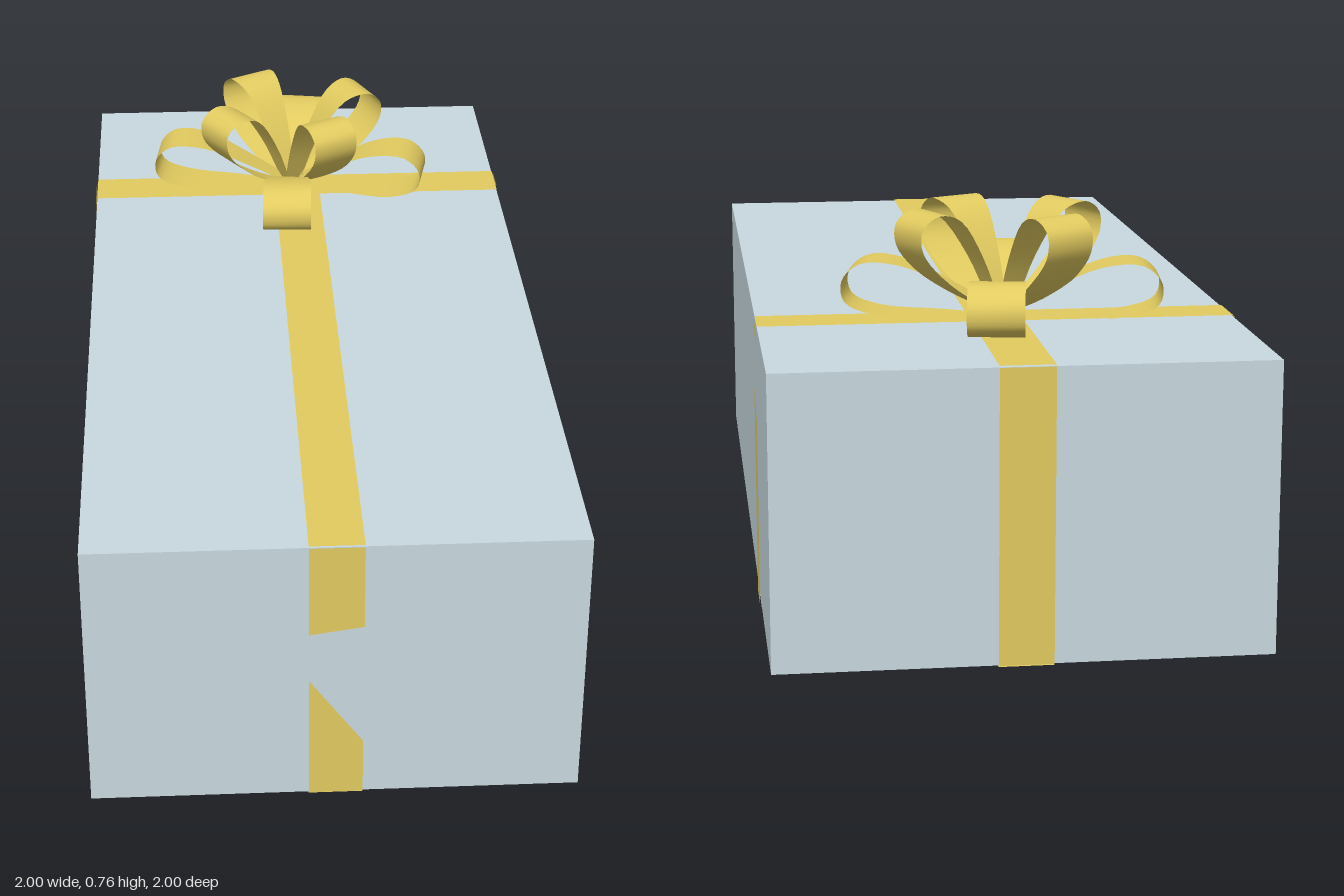
import * as THREE from 'three';

const L = 1.923, W = 0.905, H = 0.545, BASE = 0.004;
const R = 0.05;      // half width of the ribbon
const CROSS = 0.525; // where the cross ribbon sits along the box
const GAP = 0.003;   // ribbon lift above the paper

const paper = new THREE.MeshStandardMaterial({ name: 'pale blue paper', color: 0xc8d9df });
const gold = new THREE.MeshStandardMaterial({ name: 'gold ribbon', color: 0xe2cb60, side: THREE.DoubleSide });

// Flat ribbon piece drawn in a face's own plane
function ribbonPiece(face, points) {
  const shape = new THREE.Shape(points.map(([x, y]) => new THREE.Vector2(x, y)));
  const mesh = new THREE.Mesh(new THREE.ShapeGeometry(shape), gold);
  mesh.name = 'ribbonPiece';
  face.add(mesh);
}

function boxFace(parent, name, position, rotation, pieces) {
  const face = new THREE.Group();
  face.name = name;
  face.position.set(...position);
  face.rotation.set(...rotation);
  pieces.forEach((p) => ribbonPiece(face, p));
  parent.add(face);
}

const rect = (x0, y0, x1, y1) => [[x0, y0], [x1, y0], [x1, y1], [x0, y1]];

// Closed loop of ribbon: side profile (radius, height), flaring from the middle outwards
function loopGeometry(profile, halfWidth) {
  const curve = new THREE.CatmullRomCurve3(profile.map(([r, y]) => new THREE.Vector3(r, y, 0)));
  const steps = 32, reach = Math.max(...profile.map((p) => p[0]));
  const positions = [], index = [];
  for (let i = 0; i <= steps; i++) {
    const p = curve.getPoint(i / steps);
    const w = halfWidth * (0.35 + 0.65 * Math.min(1, Math.max(0, p.x) / (reach * 0.75)));
    positions.push(p.x, p.y, -w, p.x, p.y, w);
    if (i < steps) {
      const a = i * 2;
      index.push(a, a + 2, a + 1, a + 1, a + 2, a + 3);
    }
  }
  const g = new THREE.BufferGeometry();
  g.setAttribute('position', new THREE.Float32BufferAttribute(positions, 3));
  g.setIndex(index);
  g.computeVertexNormals();
  return g;
}

function bow() {
  const group = new THREE.Group();
  group.name = 'bow';
  const lower = loopGeometry([[0, 0.004], [0.12, 0.008], [0.24, 0.012], [0.295, 0.035], [0.3, 0.075],
    [0.265, 0.108], [0.19, 0.105], [0.09, 0.06], [0, 0.012]], 0.052);
  const upper = loopGeometry([[0, 0.008], [0.08, 0.045], [0.16, 0.1], [0.2, 0.15], [0.2, 0.19],
    [0.165, 0.214], [0.115, 0.2], [0.06, 0.125], [0.01, 0.012]], 0.052);
  const tiers = [
    ['lowerLoop', lower, [139, 57, -35, -128]],
    ['upperLoop', upper, [-75, 22, 108, 193]],
  ];
  for (const [name, geometry, angles] of tiers) {
    for (const a of angles) {
      const loop = new THREE.Mesh(geometry, gold);
      loop.name = name;
      loop.rotation.y = -THREE.MathUtils.degToRad(a);
      group.add(loop);
    }
  }
  return group;
}

export function createModel() {
  const model = new THREE.Group();
  model.name = 'giftBox';

  // Wrapped box, standing diagonally
  const parcel = new THREE.Group();
  parcel.name = 'parcel';
  parcel.rotation.y = Math.PI / 4;
  model.add(parcel);

  const box = new THREE.Mesh(new THREE.BoxGeometry(L, H - BASE, W), paper);
  box.name = 'box';
  box.position.y = (H + BASE) / 2;
  parcel.add(box);

  const l = L / 2, w = W / 2, q = Math.PI / 2, c0 = CROSS - R, c1 = CROSS + R;

  // Ribbon on each face; it dips under the paper in places
  boxFace(parcel, 'topRibbon', [0, H + GAP, 0], [-q, 0, 0],
    [rect(-l, -R, l, R), rect(c0, -w, c1, w)]);
  boxFace(parcel, 'bottomRibbon', [0, BASE - GAP, 0], [q, 0, 0], [
    [[l, -R], [l, R], [0.77, R], [0.94, -R]],
    [[0.24, -R], [0.24, R], [-0.56, R], [-0.67, -R]],
    [[-0.67, -R], [-0.79, R], [-l, R], [-l, -R]],
    rect(c0, 0.2, c1, w),
    [[c0, -w], [c1, -w], [c1, -0.38], [c0, -0.29]],
  ]);
  boxFace(parcel, 'frontRibbon', [0, 0, w + GAP], [0, 0, 0], [
    [[c0, BASE], [c1, BASE], [c1, 0.36], [c0, 0.425]],
    [[c0 + 0.03, H], [c1, 0.51], [c1, H]],
  ]);
  boxFace(parcel, 'backRibbon', [0, 0, -w - GAP], [0, Math.PI, 0], [rect(-c1, BASE, -c0, H)]);
  boxFace(parcel, 'nearEndRibbon', [l + GAP, 0, 0], [0, q, 0], [rect(-R, BASE, R, H)]);
  boxFace(parcel, 'farEndRibbon', [-l - GAP, 0, 0], [0, -q, 0], [
    [[-R, BASE], [R, BASE], [R, 0.12], [-R, 0.26]],
    [[-R, 0.36], [R, 0.375], [R, H], [-R, H]],
  ]);

  // Bow where the ribbons cross
  const knot = bow();
  knot.position.set(0.365, H, -0.385);
  model.add(knot);
  return model;
}
